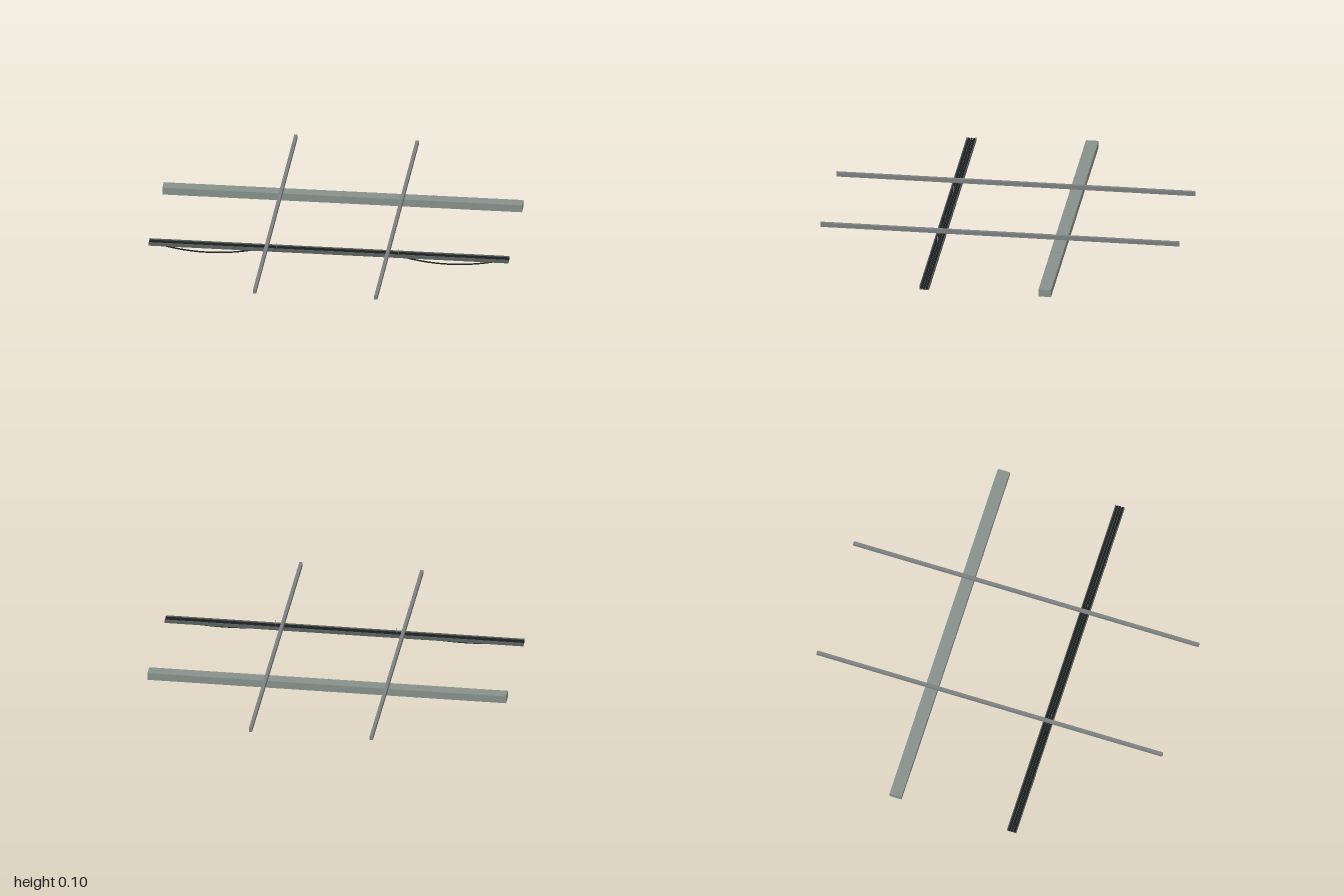
import * as THREE from 'three';

export function createModel() {
  const group = new THREE.Group();
  const mat = (name, color) => {
    const m = new THREE.MeshStandardMaterial({ color });
    m.name = name;
    return m;
  };
  const ductGrey = mat('duct grey-green', 0x86908a);
  const railGrey = mat('rail grey', 0x7c8080);
  const trayGrey = mat('tray dark grey', 0x59625e);
  const cableBlack = mat('cable black', 0x1b1e1f);

  const add = (name, geometry, material, x = 0, y = 0, z = 0) => {
    const mesh = new THREE.Mesh(geometry, material);
    mesh.name = name;
    mesh.position.set(x, y, z);
    group.add(mesh);
    return mesh;
  };
  const box = (name, w, h, d, material, x, y, z) =>
    add(name, new THREE.BoxGeometry(w, h, d), material, x, y, z);

  // Overhead rails running front to back
  for (const x of [-0.337, 0.337]) box('rail', 0.018, 0.024, 2, railGrey, x, 0.088, 0);

  // Rectangular duct with thin seam collars
  box('duct', 2, 0.042, 0.07, ductGrey, 0, 0.049, -0.337);
  for (const x of [-0.5, 0, 0.5]) box('ductSeam', 0.006, 0.045, 0.073, ductGrey, x, 0.049, -0.337);

  // Cable tray: floor and two lips
  const trayZ = 0.335;
  box('trayFloor', 2, 0.004, 0.054, trayGrey, 0, 0.032, trayZ);
  for (const s of [-1, 1]) box('trayLip', 2, 0.018, 0.004, trayGrey, 0, 0.041, trayZ + s * 0.025);

  // Cables lying in the tray
  for (const dz of [-0.015, 0, 0.015]) {
    const cable = add('trayCable', new THREE.CylinderGeometry(0.0065, 0.0065, 2, 8), cableBlack, 0, 0.0405, trayZ + dz);
    cable.rotation.z = Math.PI / 2;
  }

  // Thin hangers between the tray and the rails
  for (const x of [-0.29, 0.385]) box('trayHanger', 0.003, 0.045, 0.003, railGrey, x, 0.0535, 0.342);

  // Loose cables sagging out of the tray
  for (const cx of [-0.67, 0.67]) {
    const points = [];
    for (let i = 0; i <= 12; i++) {
      const t = i / 6 - 1;
      points.push(new THREE.Vector3(cx + t * 0.32, 0.005 + 0.036 * t * t, 0.356 - 0.022 * t * t));
    }
    const curve = new THREE.CatmullRomCurve3(points);
    add('saggingCable', new THREE.TubeGeometry(curve, 24, 0.004, 6), cableBlack);
  }
  return group;
}
